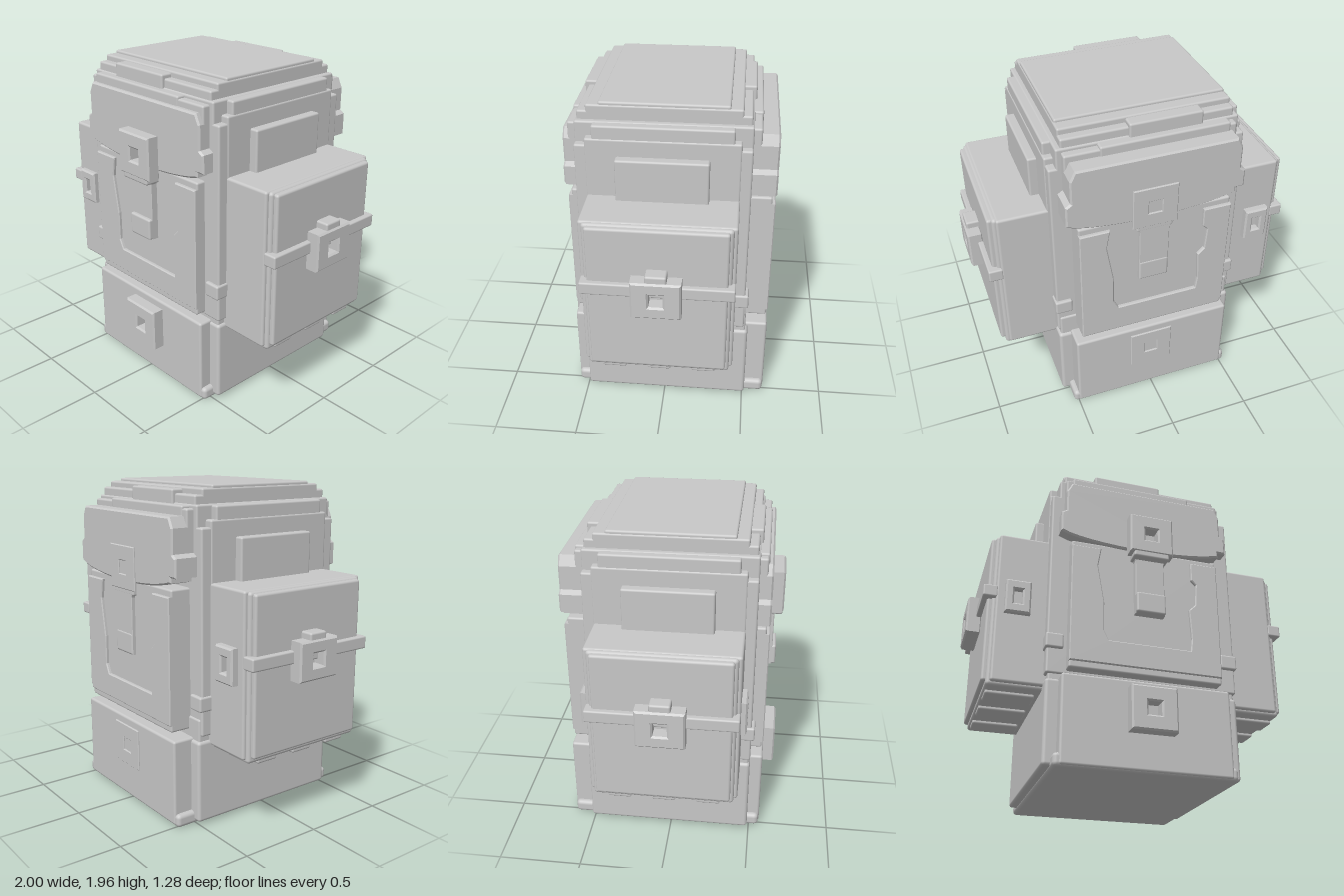
import * as THREE from 'three';
import { RoundedBoxGeometry } from 'three/addons/geometries/RoundedBoxGeometry.js';

const grey = new THREE.MeshStandardMaterial({ color: 0xc8c8c8 });
grey.name = 'plain grey';

function add(parent, name, geometry) {
  const mesh = new THREE.Mesh(geometry, grey);
  mesh.name = name;
  parent.add(mesh);
  return mesh;
}

// softly bevelled box given by its limits on each axis
function slab(parent, name, [x0, x1], [y0, y1], [z0, z1], r = 0.012) {
  const mesh = add(parent, name, new RoundedBoxGeometry(x1 - x0, y1 - y0, z1 - z0, 2, r));
  mesh.position.set((x0 + x1) / 2, (y0 + y1) / 2, (z0 + z1) / 2);
  return mesh;
}

function outline(points) {
  return new THREE.Shape(points.map(([x, y]) => new THREE.Vector2(x, y)));
}

// outline in x and y, extruded from z0 to z1 with a small bevel
function plate(parent, name, shape, z0, z1, bevel = 0.01) {
  const geometry = new THREE.ExtrudeGeometry(shape, {
    depth: z1 - z0 - 2 * bevel, bevelEnabled: true, bevelSize: bevel,
    bevelThickness: bevel, bevelOffset: -bevel, bevelSegments: 1, curveSegments: 12,
  });
  geometry.translate(0, 0, z0 + bevel);
  return add(parent, name, geometry);
}

// rectangular buckle with a square opening
function buckle(parent, name, cx, cy, w, h, hw, hh, z0, z1) {
  const rect = (a, b) => [[cx - a, cy - b], [cx + a, cy - b], [cx + a, cy + b], [cx - a, cy + b]];
  const shape = outline(rect(w / 2, h / 2));
  shape.holes.push(new THREE.Path(rect(hw / 2, hh / 2).reverse().map(([x, y]) => new THREE.Vector2(x, y))));
  return plate(parent, name, shape, z0, z1, Math.min(0.01, (z1 - z0) / 4));
}

// flap, framed panel, lower bag face and buckles; the strap runs down at x = cx
function addFace(parent, zFace, zBuckle, zTongue, cx) {
  slab(parent, 'lowerBagFace', [-0.5, 0.5], [0.01, 0.53], [0.4, zFace], 0.015);
  slab(parent, 'panelBase', [-0.46, 0.46], [0.57, 1.4], [0.4, zFace - 0.02]);
  slab(parent, 'panelLip', [-0.46, 0.46], [0.57, 0.62], [0.4, zFace - 0.01]);

  // raised border around the sunken pocket
  plate(parent, 'panelBorder', outline([
    [-0.46, 0.61], [0.46, 0.61], [0.46, 1.36], [0.29, 1.36], [0.29, 1.24], [0.32, 1.21],
    [0.31, 1.07], [0.27, 1.03], [0.28, 0.84], [0.27, 0.76], [-0.23, 0.76], [-0.26, 0.82],
    [-0.26, 1.0], [-0.28, 1.12], [-0.3, 1.24], [-0.28, 1.36], [-0.46, 1.36],
  ]), zFace - 0.06, zFace, 0.006);

  const flap = outline([
    [0.48, 1.44], [0.48, 1.47], [0.53, 1.47], [0.53, 1.58], [0.5, 1.6], [0.5, 1.74],
    [0.47, 1.8], [-0.47, 1.8], [-0.5, 1.74], [-0.5, 1.6], [-0.53, 1.58], [-0.53, 1.45], [-0.48, 1.43],
  ]);
  flap.bezierCurveTo(-0.25, 1.37, 0.25, 1.37, 0.48, 1.44);
  plate(parent, 'flap', flap, 0.4, zFace);

  plate(parent, 'flapStrap', outline([
    [cx - 0.09, 0.95], [cx + 0.09, 0.95], [cx + 0.09, 1.3], [cx + 0.11, 1.36], [cx - 0.11, 1.36], [cx - 0.09, 1.3],
  ]), zFace - 0.06, zFace + (zTongue - zFace) * 0.5, 0.004);
  slab(parent, 'strapEnd', [cx - 0.09, cx + 0.09], [0.95, 1.08], [zFace - 0.06, zTongue]);
  buckle(parent, 'flapBuckle', cx, 1.47, 0.27, 0.26, 0.08, 0.08, zFace - 0.01, zBuckle);
  slab(parent, 'flapBuckleNeck', [cx - 0.11, cx + 0.11], [1.31, 1.36], [zFace - 0.04, zBuckle - 0.005]);
  buckle(parent, 'lowerBuckle', cx, 0.35, 0.27, 0.26, 0.08, 0.08, zFace - 0.01, zBuckle);
}

// pocket on the left (+x) side
function addSidePocket(parent) {
  slab(parent, 'pocketBody', [0.5, 0.89], [0.47, 1.43], [-0.41, 0.41], 0.02);
  slab(parent, 'pocketMiddle', [0.5, 0.87], [0.49, 1.435], [-0.43, 0.43], 0.015);
  slab(parent, 'pocketOuterFace', [0.8, 0.915], [0.5, 1.42], [-0.39, 0.39], 0.015);
  for (const z of [-0.26, 0, 0.26]) {
    slab(parent, 'pocketFoot', [0.6, 0.88], [0.45, 0.55], [z - 0.07, z + 0.07]);
  }

  // strap and buckle wrapped around the pocket
  slab(parent, 'pocketStrap', [0.86, 0.945], [1.01, 1.085], [-0.43, 0.43], 0.01);
  const clasp = new THREE.Group();
  clasp.name = 'pocketClasp';
  buckle(clasp, 'pocketBuckle', 0, 1.025, 0.28, 0.23, 0.08, 0.08, 0.91, 1.0);
  slab(clasp, 'pocketBuckleTop', [-0.06, 0.06], [1.12, 1.18], [0.9, 0.99]);
  clasp.rotation.y = Math.PI / 2;
  parent.add(clasp);

  slab(parent, 'sidePad', [0.5, 0.632], [1.0, 1.68], [-0.26, 0.26], 0.012);
}

export function createModel() {
  const model = new THREE.Group();
  model.name = 'backpack';

  // main body: lower bag, waist and upper bag
  slab(model, 'lowerBag', [-0.575, 0.575], [0.02, 0.52], [-0.515, 0.49], 0.02);
  slab(model, 'lowerBagBase', [-0.53, 0.53], [0, 0.08], [-0.63, 0.56], 0.025);
  slab(model, 'waist', [-0.56, 0.56], [0.45, 0.65], [-0.5, 0.48]);

  // stepped side layers and rounded top, wide to narrow in depth
  const sideSteps = [[0.575, 1.74, 0.49], [0.58, 1.78, 0.43], [0.575, 1.855, 0.39]];
  for (const [x, y, z] of sideSteps) slab(model, 'sideStep', [-x, x], [0.55, y], [-z, z]);
  const topSteps = [[0.5, 1.84, 0.535], [0.53, 1.86, 0.49], [0.5, 1.91, 0.48], [0.5, 1.945, 0.43], [0.495, 1.962, 0.36]];
  for (const [x, y, z] of topSteps) slab(model, 'topStep', [-x, x], [1.6, y], [-z, z]);

  // folded ridges between lid and flap, and corner tabs
  for (const s of [1, -1]) {
    const span = (a, b) => (s > 0 ? [a, b] : [-b, -a]);
    slab(model, 'lidFold', [-0.31, 0.12], [1.84, 1.935], span(0.4, 0.5));
    slab(model, 'lidFoldLow', [-0.46, 0.3], [1.76, 1.855], span(0.45, 0.54));
    for (const side of [1, -1]) {
      const xs = side > 0 ? [0.48, 0.585] : [-0.585, -0.48];
      slab(model, 'cornerTab', xs, [0.7, 0.79], span(0.42, 0.51));
    }
  }

  // front face and the deeper, nearly flush back face
  const front = new THREE.Group();
  front.name = 'frontFace';
  addFace(front, 0.565, 0.64, 0.61, 0.015);
  const back = new THREE.Group();
  back.name = 'backFace';
  addFace(back, 0.634, 0.643, 0.641, -0.015);
  back.rotation.y = Math.PI;
  model.add(front, back);

  // side pockets
  for (const s of [1, -1]) {
    const pocket = new THREE.Group();
    pocket.name = s > 0 ? 'leftPocket' : 'rightPocket';
    addSidePocket(pocket);
    if (s < 0) pocket.rotation.y = Math.PI;
    model.add(pocket);
  }

  // small buckles on the front and back of the right pocket
  buckle(model, 'smallFrontBuckle', -0.745, 1.015, 0.15, 0.21, 0.05, 0.09, 0.42, 0.465);
  buckle(model, 'smallBackBuckle', -0.745, 1.015, 0.15, 0.21, 0.05, 0.09, -0.475, -0.42);

  return model;
}
